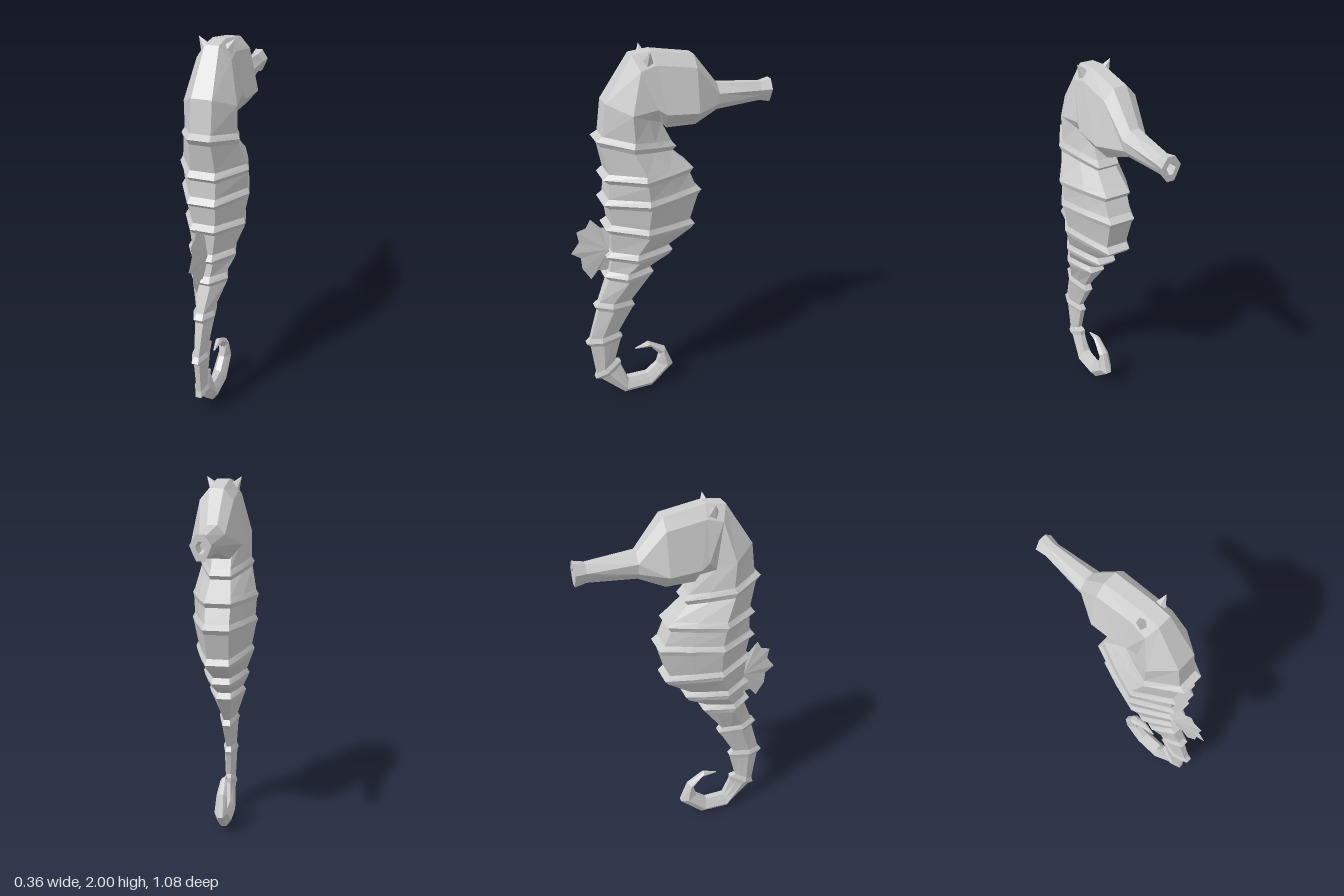
import * as THREE from 'three';

// Cross-section corners on one side: [fraction of half width, fraction from back to belly]
const BODY = [[0.38, 0], [1, 0.4], [0.7, 0.72], [0.38, 1]];
const HEAD = [[0.27, 0], [0.64, 0.16], [1, 0.78], [0.5, 1]];

// Ring between a back point and a belly point; k blends body section to head section
function ring([bz, by, fz, fy, w, k]) {
  const side = BODY.map(([x, t], i) => {
    const u = THREE.MathUtils.lerp(x, HEAD[i][0], k) * w;
    const v = THREE.MathUtils.lerp(t, HEAD[i][1], k);
    return [u, by + (fy - by) * v, bz + (fz - bz) * v];
  });
  return [...side, ...side.slice().reverse().map(([x, y, z]) => [-x, y, z])];
}

function facets(triangles) {
  const g = new THREE.BufferGeometry();
  g.setAttribute('position', new THREE.Float32BufferAttribute(triangles.flat(2), 3));
  g.computeVertexNormals();
  return g;
}

function loft(rows) {
  const rings = rows.map(ring), tris = [];
  const n = rings[0].length;
  for (let i = 0; i < rings.length - 1; i++) {
    for (let j = 0; j < n; j++) {
      const k = (j + 1) % n;
      const a = rings[i][j], b = rings[i][k], c = rings[i + 1][j], d = rings[i + 1][k];
      tris.push([a, c, b], [b, c, d]);
    }
  }
  const first = rings[0], last = rings[rings.length - 1];
  for (let j = 1; j < n - 1; j++) {
    tris.push([first[0], first[j], first[j + 1]], [last[0], last[j + 1], last[j]]);
  }
  return facets(tris);
}

// A raised bony band: deep ledge above the crest, shallower slope below it
function band([bz, by, fz, fy, w], rise) {
  const dz = fz - bz, dy = fy - by, len = Math.hypot(dz, dy);
  const uz = dz / len, uy = dy / len;
  const base = (s, belly, flank) => [
    bz + uz * rise - uy * s, by + uy * rise + uz * s,
    fz - uz * belly - uy * s, fy - uy * belly + uz * s, w - flank, 0];
  return [
    base(-0.026, rise, rise * 0.45),
    [bz, by, fz, fy, w, 0],
    base(0.026, rise * 0.6, rise * 0.3),
  ];
}

export function createModel() {
  const model = new THREE.Group();
  model.name = 'seahorse';
  const grey = new THREE.MeshStandardMaterial({ color: 0xcccccc });
  grey.name = 'pale grey';
  grey.flatShading = true;
  const add = (name, geometry) => {
    const mesh = new THREE.Mesh(geometry, grey);
    mesh.name = name;
    model.add(mesh);
    return mesh;
  };

  // Rows are [back z, back y, belly z, belly y, half width, head blend]
  const head = [
    [-0.46, 1.745, -0.46, 1.71, 0.018, 0],
    [-0.537, 1.755, -0.537, 1.70, 0.024, 0],
    [-0.537, 1.787, -0.537, 1.668, 0.05, 0],
    [-0.48, 1.775, -0.48, 1.68, 0.041, 0],
    [-0.24, 1.795, -0.24, 1.665, 0.07, 0.3],
    [-0.11, 1.955, -0.11, 1.615, 0.13, 1],
    [0.10, 1.99, 0.04, 1.615, 0.122, 1],
    [0.20, 1.978, 0.065, 1.65, 0.12, 0.8],
    [0.34, 1.765, 0.06, 1.64, 0.133, 0],
  ];

  const bands = [
    [0.395, 1.585, -0.015, 1.51, 0.148],
    [0.37, 1.385, -0.105, 1.385, 0.18],
    [0.375, 1.25, -0.15, 1.255, 0.18],
    [0.365, 1.105, -0.12, 1.06, 0.163],
    [0.365, 0.94, 0.0, 0.92, 0.13],
    [0.38, 0.82, 0.105, 0.80, 0.105],
    [0.435, 0.63, 0.21, 0.60, 0.06],
    [0.49, 0.395, 0.285, 0.405, 0.046],
    [0.45, 0.145, 0.30, 0.23, 0.042],
  ].flatMap((b, i) => band(b, i < 6 ? 0.03 : 0.024));

  const tail = [
    [0.28, 0.003, 0.26, 0.10, 0.046, 0],
    [0.115, 0.008, 0.145, 0.10, 0.044, 0],
    [-0.015, 0.13, 0.08, 0.155, 0.038, 0],
    [0.03, 0.25, 0.065, 0.215, 0.03, 0],
    [0.13, 0.312, 0.115, 0.275, 0.02, 0],
    [0.21, 0.286, 0.205, 0.28, 0.004, 0],
  ];

  add('body', loft([...head, ...bands, ...tail]));

  // Scalloped back fin as [z, y] outline, thick at the root and thin at the rim
  const rim = [
    [0.33, 1.09], [0.38, 1.095], [0.43, 1.15], [0.455, 1.105], [0.505, 1.09], [0.495, 1.03],
    [0.54, 0.97], [0.49, 0.935], [0.485, 0.87], [0.44, 0.797], [0.40, 0.845], [0.33, 0.83],
  ].map(([z, y]) => [0, y, z]);
  const fin = [];
  for (let i = 0; i < rim.length - 1; i++) {
    fin.push([[0.022, 0.97, 0.345], rim[i], rim[i + 1]], [[-0.022, 0.97, 0.345], rim[i + 1], rim[i]]);
  }
  add('backFin', facets(fin));

  // Small horns on the crown
  for (const s of [-1, 1]) {
    const horn = add(s > 0 ? 'leftHorn' : 'rightHorn', new THREE.ConeGeometry(0.046, 0.1, 5));
    horn.position.set(s * 0.062, 1.959, 0.128);
    horn.rotation.z = -s * 0.6;
  }
  return model;
}
